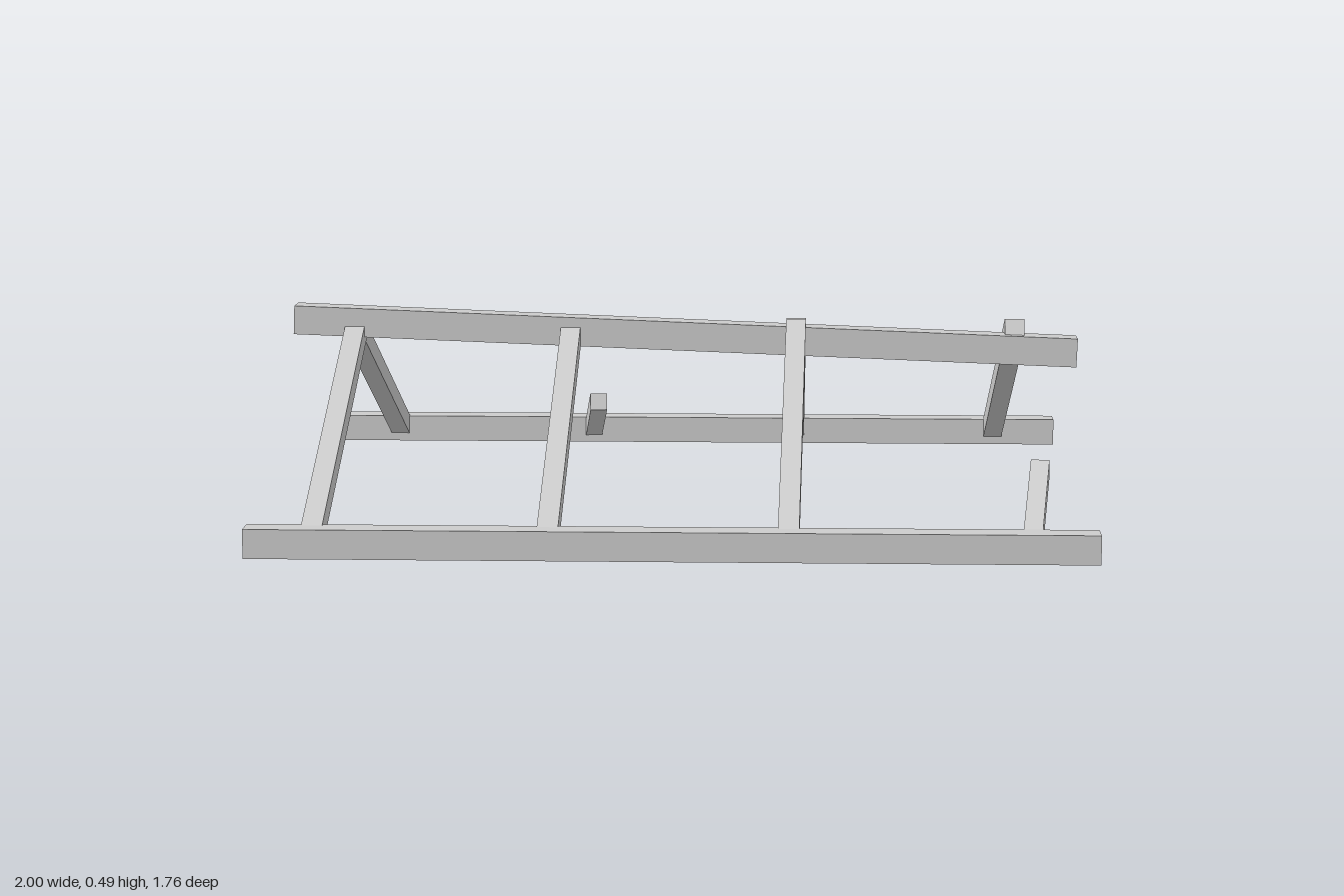
import * as THREE from 'three';

const material = new THREE.MeshStandardMaterial({ color: 0xcccccc, flatShading: true });

// Square-ended timber running from point a to point b, its sides kept upright
function beam(name, a, b, width, height) {
  const from = new THREE.Vector3(...a), to = new THREE.Vector3(...b);
  const mesh = new THREE.Mesh(new THREE.BoxGeometry(width, height, from.distanceTo(to)), material);
  mesh.name = name;
  mesh.position.copy(from).add(to).multiplyScalar(0.5);
  mesh.lookAt(to);
  return mesh;
}

export function createModel() {
  const roof = new THREE.Group();
  roof.name = 'brokenRoofFrame';

  // Wall plates along the eaves
  for (const [name, z] of [['frontPlate', 0.845], ['backPlate', -0.845]]) {
    roof.add(beam(name, [-1, 0.035, z], [1, 0.035, z], 0.07, 0.07));
  }

  // Sagging ridge beam
  roof.add(beam('ridgeBeam', [-0.999, 0.452, 0], [0.999, 0.377, 0], 0.07, 0.073));

  // Whole rafters: side, x at the eaves, x at the ridge, ridge height
  const rafters = [
    [1, -0.845, -0.843, 0.425], [1, -0.29, -0.29, 0.425], [1, 0.275, 0.285, 0.435],
    [-1, -0.832, -0.847, 0.425], [-1, 0.278, 0.285, 0.435], [-1, 0.83, 0.842, 0.435],
  ];
  for (const [side, xEave, xRidge, y] of rafters) {
    const name = side > 0 ? 'frontRafter' : 'backRafter';
    roof.add(beam(name, [xEave, 0.04, side * 0.83], [xRidge, y, 0], 0.05, 0.05));
  }

  // Snapped rafter stubs
  roof.add(beam('frontBrokenRafter', [0.845, 0.04, 0.82], [0.88, 0.162, 0.498], 0.045, 0.045));
  roof.add(beam('backBrokenRafter', [-0.287, 0.04, -0.82], [-0.253, 0.162, -0.498], 0.045, 0.045));

  return roof;
}
